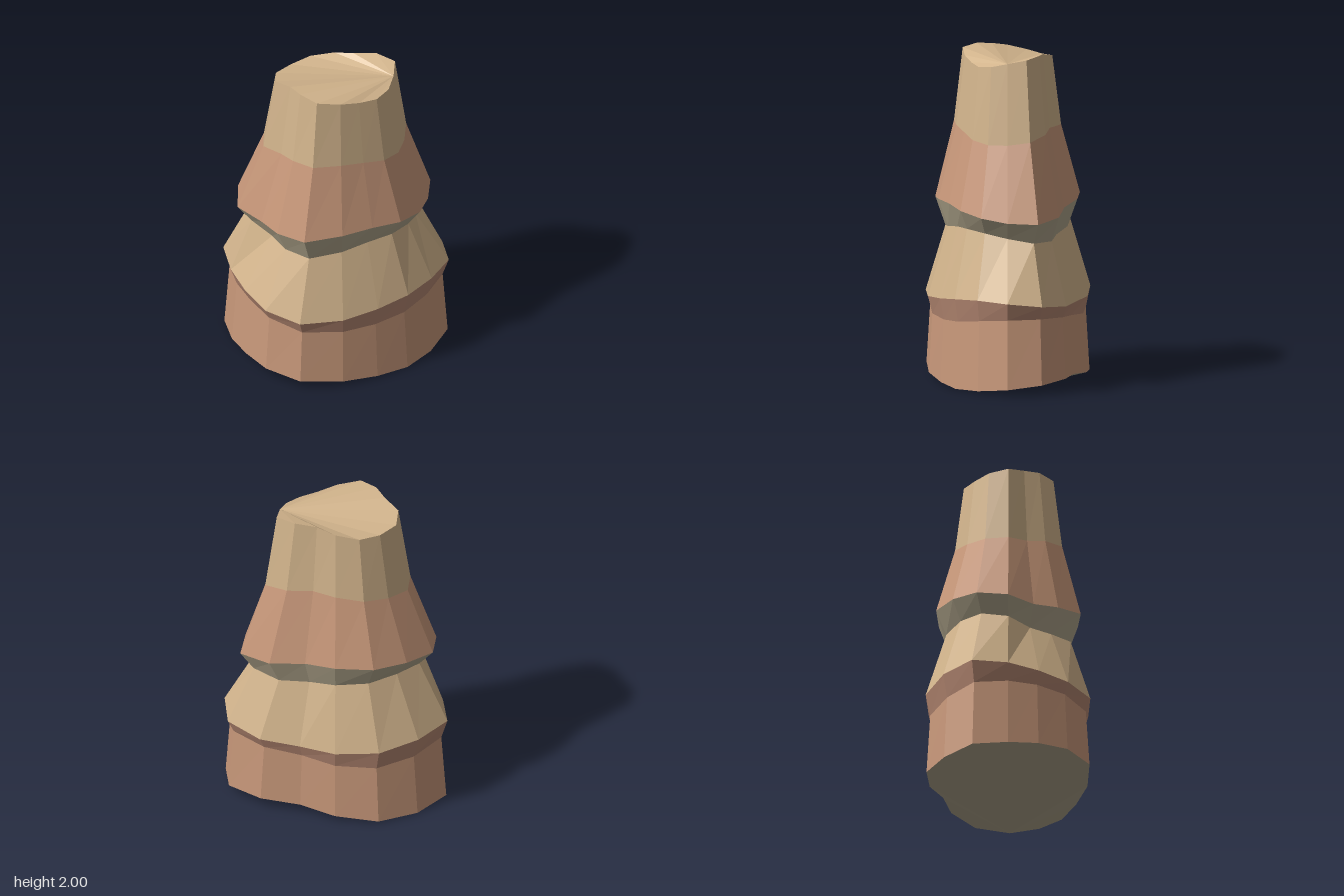
import * as THREE from 'three';

const SIDES = 16, Z_SCALE = 0.78;

// Radii around the rock (from +x towards +z) for the lower and upper outline
const LOWER = [0.67, 0.6, 0.57, 0.56, 0.61, 0.68, 0.65, 0.615, 0.64, 0.725, 0.705, 0.69, 0.615, 0.555, 0.64, 0.7];
const UPPER = [0.545, 0.525, 0.51, 0.485, 0.53, 0.6, 0.54, 0.505, 0.6, 0.63, 0.605, 0.603, 0.538, 0.475, 0.56, 0.62];

// Rings from bottom to top: mean height, outline, scale
const RINGS = [
  [0.037, LOWER, 0.99],
  [0.425, LOWER, 0.945],
  [0.53, LOWER, 1],
  [0.925, UPPER, 0.86],
  [1.06, UPPER, 1],
  [1.51, UPPER, 0.74],
  [1.965, UPPER, 0.62],
];

const TAN = 0xd2b48c, RED = 0xc8987a, GREY = 0xb3a88e;
const BANDS = [
  ['baseStratum', RED],
  ['lowerLedge', 0xb88a74],
  ['middleStratum', TAN],
  ['upperLedge', GREY],
  ['shoulderStratum', RED],
  ['topStratum', TAN],
];

// One ring of points; its height ripples twice around, turning from ring to ring
function ringPoints([y, outline, scale], index) {
  return outline.map((r, k) => {
    const a = (k / SIDES) * Math.PI * 2;
    const ripple = 0.035 * Math.cos(2 * a + Math.PI / 2 - index * 1.05);
    return new THREE.Vector3(Math.cos(a) * r * scale, y + ripple, Math.sin(a) * r * scale * Z_SCALE);
  });
}

function facetedMesh(name, color, points) {
  const geometry = new THREE.BufferGeometry().setFromPoints(points);
  geometry.computeVertexNormals();
  const material = new THREE.MeshStandardMaterial({ color, flatShading: true });
  const mesh = new THREE.Mesh(geometry, material);
  mesh.name = name;
  return mesh;
}

// Wall between two rings
function band(lower, upper) {
  const points = [];
  for (let k = 0; k < SIDES; k++) {
    const n = (k + 1) % SIDES;
    points.push(lower[k], upper[k], lower[n], lower[n], upper[k], upper[n]);
  }
  return points;
}

// Fan closing a ring, spread from its first corner
function cap(ring, facesUp) {
  const points = [];
  for (let k = 1; k < SIDES - 1; k++) {
    if (facesUp) points.push(ring[0], ring[k + 1], ring[k]);
    else points.push(ring[0], ring[k], ring[k + 1]);
  }
  return points;
}

export function createModel() {
  const group = new THREE.Group();
  group.name = 'layeredRock';
  const rings = RINGS.map(ringPoints);

  // Stacked strata
  BANDS.forEach(([name, color], i) => {
    group.add(facetedMesh(name, color, band(rings[i], rings[i + 1])));
  });

  // Top and underside
  group.add(facetedMesh('topFace', TAN, cap(rings[rings.length - 1], true)));
  group.add(facetedMesh('underside', GREY, cap(rings[0], false)));
  return group;
}
